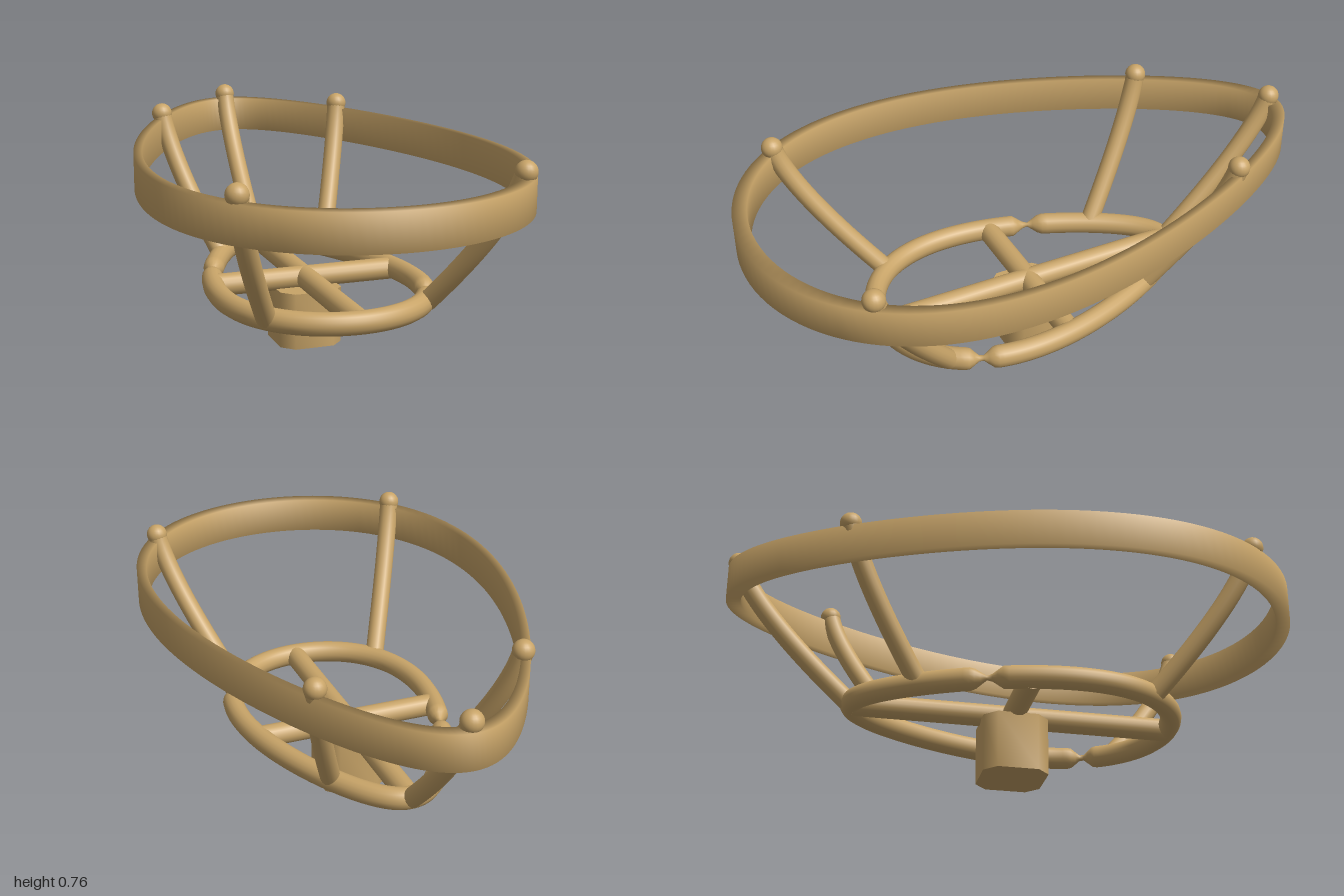
import * as THREE from 'three';
import { toCreasedNormals } from 'three/addons/utils/BufferGeometryUtils.js';

const material = new THREE.MeshStandardMaterial({ color: 0xc8a468 });

// Egg outline in plan: blunt at the front (+z), pointed at the back.
function egg(t, scale = 1) {
  return new THREE.Vector2(
    Math.sin(t) * (0.598 + 0.2 * Math.cos(t)) * scale,
    Math.cos(t) * scale
  );
}

// Closed loop of cross-sections; section(t) returns [x, y, z] corners,
// running upward on the outer side.
function loopGeometry(section, steps) {
  const positions = [];
  const index = [];
  let n = 0;
  for (let i = 0; i < steps; i++) {
    const ring = section((i / steps) * Math.PI * 2);
    n = ring.length;
    ring.forEach((p) => positions.push(...p));
  }
  for (let i = 0; i < steps; i++) {
    const next = (i + 1) % steps;
    for (let j = 0; j < n; j++) {
      const k = (j + 1) % n;
      const a = i * n + j, b = next * n + j, c = i * n + k, d = next * n + k;
      index.push(a, b, c, b, d, c);
    }
  }
  const geometry = new THREE.BufferGeometry();
  geometry.setAttribute('position', new THREE.Float32BufferAttribute(positions, 3));
  geometry.setIndex(index);
  geometry.computeVertexNormals();
  return geometry;
}

// Upper band: tall, thin section.
function rimSection(t) {
  const o = egg(t), i = egg(t, 0.95);
  return [
    [o.x, 0.58, o.y], [o.x, 0.705, o.y],
    [i.x, 0.705, i.y], [i.x, 0.58, i.y]
  ];
}

// Lower ring: round section that pinches in at two places.
const pinches = [Math.acos(0.595), Math.PI * 2 - Math.acos(-0.25)];
function lowerSection(t) {
  const centre = egg(t, 0.555);
  const tangent = egg(t + 0.01).sub(egg(t - 0.01)).normalize();
  const gap = Math.min(...pinches.map((p) => Math.abs(t - p)));
  const r = 0.037 * Math.min(1, 0.1 + gap / 0.1);
  const ring = [];
  for (let j = 0; j < 16; j++) {
    const a = (j / 16) * Math.PI * 2;
    const out = Math.cos(a) * r;
    ring.push([
      centre.x - tangent.y * -out,
      0.231 + Math.sin(a) * r * 1.06,
      centre.y + tangent.x * out
    ]);
  }
  // tangent (x, z) turned a quarter gives the outward direction (-z, x)
  return ring.map(([x, y, z], j) => {
    const out = Math.cos((j / 16) * Math.PI * 2) * r;
    return [centre.x - tangent.y * out, y, z];
  });
}

export function createModel() {
  const group = new THREE.Group();
  const add = (name, geometry, parent = group) => {
    const mesh = new THREE.Mesh(geometry, material);
    mesh.name = name;
    parent.add(mesh);
    return mesh;
  };

  add('upperRim', loopGeometry(rimSection, 128));
  add('lowerRing', loopGeometry(lowerSection, 192));

  // Crossed bars under the ring
  add('crossBar', new THREE.CylinderGeometry(0.039, 0.039, 0.66, 16).rotateZ(Math.PI / 2))
    .position.y = 0.228;
  add('lengthBar', new THREE.CylinderGeometry(0.039, 0.039, 1.1, 16).rotateX(Math.PI / 2))
    .position.y = 0.228;

  // Square foot with bevelled corners
  const w = 0.112, c = 0.07;
  const outline = new THREE.Shape([
    [w, -c], [w, c], [c, w], [-c, w], [-w, c], [-w, -c], [-c, -w], [c, -w]
  ].map(([x, y]) => new THREE.Vector2(x, y)));
  const foot = new THREE.ExtrudeGeometry(outline, { depth: 0.2, bevelEnabled: false });
  foot.rotateX(-Math.PI / 2);
  add('foot', toCreasedNormals(foot, 0.9));

  // Struts from ring to rim, each ending in a ball: [x, z] at the bottom and top
  const struts = [
    ['backStrut', 0, -0.565, 0, -0.965],
    ['leftBackStrut', 0.2, -0.355, 0.347, -0.615],
    ['rightBackStrut', -0.2, -0.355, -0.347, -0.615],
    ['leftFrontStrut', 0.28, 0.43, 0.465, 0.74],
    ['rightFrontStrut', -0.28, 0.43, -0.465, 0.74]
  ];
  for (const [name, x0, z0, x1, z1] of struts) {
    const strut = new THREE.Group();
    strut.name = name;
    const bottom = new THREE.Vector3(x0, 0.235, z0);
    const top = new THREE.Vector3(x1, 0.725, z1);
    const bend = bottom.clone().lerp(top, 0.85).setY(0.55);
    const curve = new THREE.QuadraticBezierCurve3(bottom, bend, top);
    add('rod', new THREE.TubeGeometry(curve, 20, 0.034, 16), strut);
    add('ball', new THREE.SphereGeometry(0.037, 20, 14), strut).position.copy(top);
    group.add(strut);
  }
  return group;
}
